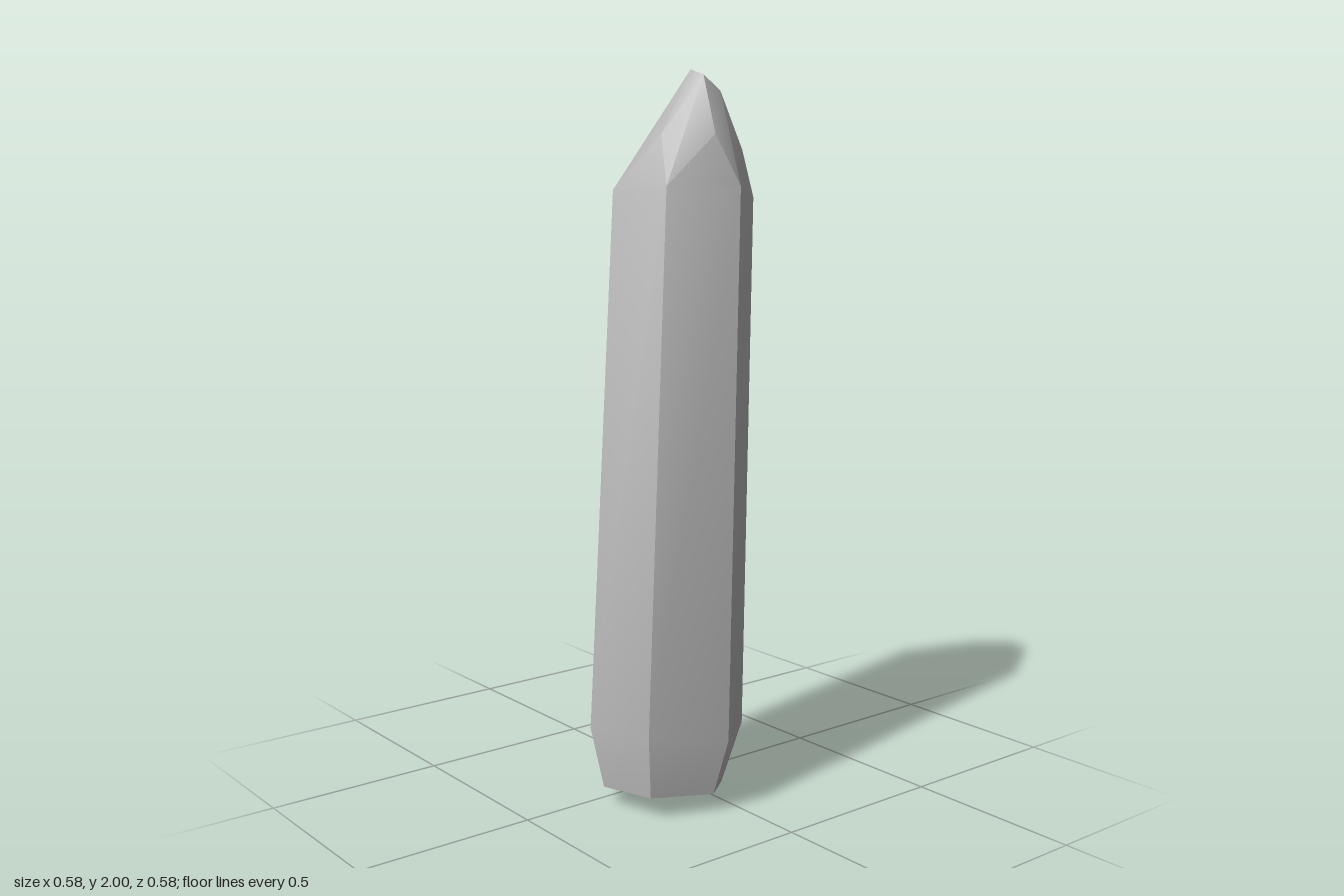
import * as THREE from 'three';
import { toCreasedNormals } from 'three/addons/utils/BufferGeometryUtils.js';
import { ConvexGeometry } from 'three/addons/geometries/ConvexGeometry.js';

// Corners of the leaning six-sided crystal, ring by ring
const base = [
  [-0.275, 0.05, 0.04], [-0.24, 0.06, 0.205], [-0.073, 0.05, 0.267],
  [0.05, 0.02, 0.155], [0.027, 0, -0.01], [-0.142, 0.02, -0.07],
];
const lowerRing = [
  [-0.29, 0.21, 0], [-0.25, 0.23, 0.21], [-0.04, 0.2, 0.29],
  [0.125, 0.18, 0.155], [0.085, 0.16, -0.055], [-0.125, 0.18, -0.137],
];
const shoulder = [
  [-0.095, 1.67, -0.147], [-0.065, 1.68, 0.053], [0.13, 1.68, 0.13],
  [0.29, 1.65, 0], [0.25, 1.63, -0.21], [0.05, 1.64, -0.29],
];
// Worn facets between the shoulder and the tip, one above each side
const facets = [
  [-0.01, 1.82, -0.04], [0.09, 1.82, 0.07], [0.215, 1.78, 0.037],
  [0.272, 1.78, -0.093], [0.177, 1.81, -0.2], [0.04, 1.8, -0.17],
];
const tip = [
  [0.125, 2, -0.08], [0.13, 1.985, -0.03], [0.16, 1.98, -0.11],
  [0.2, 1.94, -0.09], [0.175, 1.94, -0.01],
];

export function createModel() {
  const group = new THREE.Group();
  group.name = 'crystal';
  const stone = new THREE.MeshStandardMaterial({ color: 0xb4b4b4 });
  stone.name = 'grey stone';

  // Skin the rings, keeping the long edges sharp and the bevels soft
  const corners = [base, lowerRing, shoulder, facets, tip].flat()
    .map((p) => new THREE.Vector3(...p));
  const geometry = toCreasedNormals(new ConvexGeometry(corners), 0.6);
  const shard = new THREE.Mesh(geometry, stone);
  shard.name = 'crystalShard';
  group.add(shard);
  return group;
}
